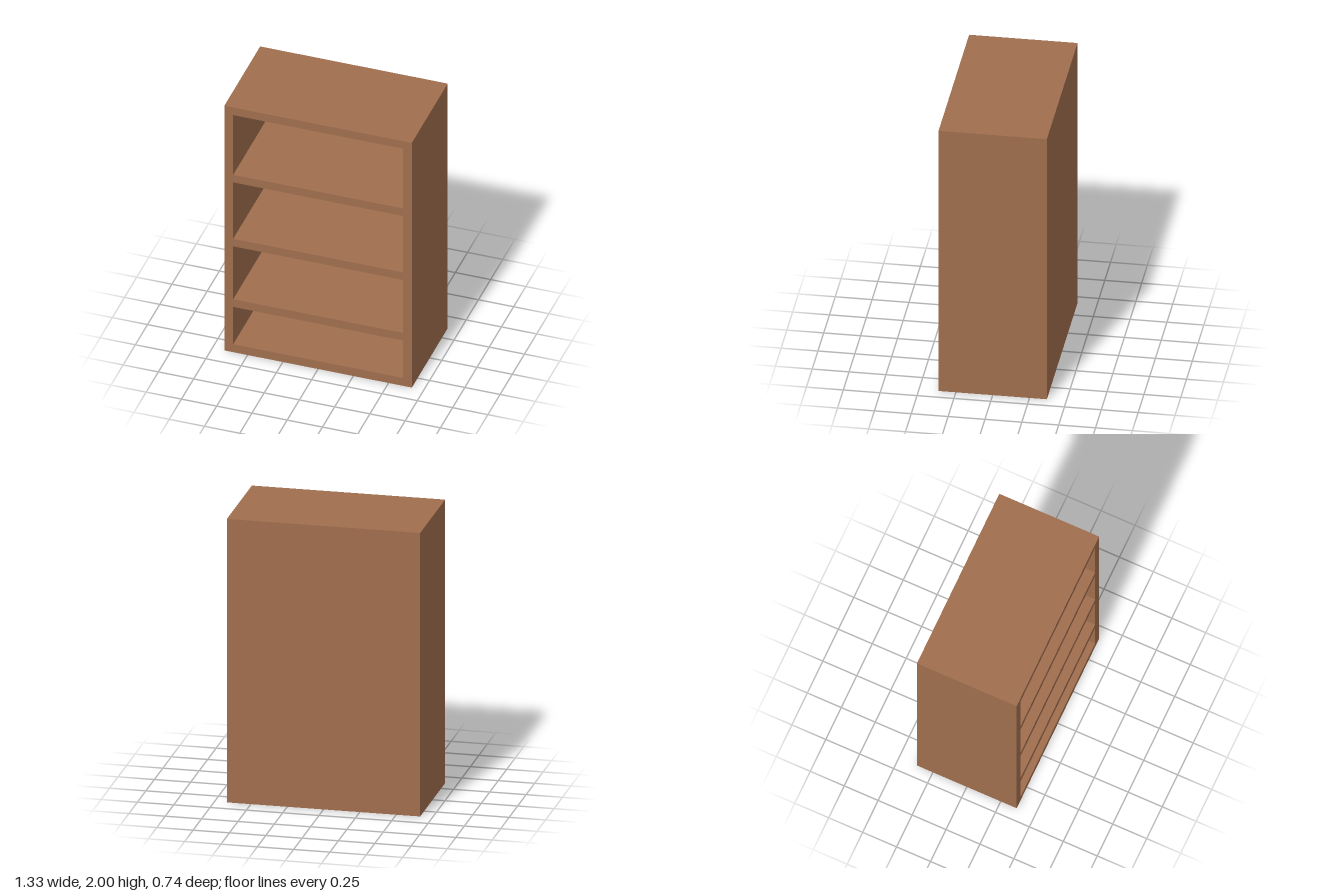
import * as THREE from 'three';

const WIDTH = 1.33, HEIGHT = 2, DEPTH = 0.735, BOARD = 0.063;

// Bottom and top height of each open compartment
const COMPARTMENTS = [[0.065, 0.37], [0.433, 0.865], [0.927, 1.388], [1.45, 1.938]];

function rectangle(path, halfWidth, bottom, top) {
  path.moveTo(-halfWidth, bottom);
  path.lineTo(halfWidth, bottom);
  path.lineTo(halfWidth, top);
  path.lineTo(-halfWidth, top);
  path.closePath();
  return path;
}

export function createModel() {
  const group = new THREE.Group();
  group.name = 'bookcase';
  const wood = new THREE.MeshStandardMaterial({ color: 0xa06e4e });
  wood.name = 'brown wood';

  // Sides, top, base and shelves as one frame with open compartments
  const outline = rectangle(new THREE.Shape(), WIDTH / 2, 0, HEIGHT);
  for (const [bottom, top] of COMPARTMENTS) {
    outline.holes.push(rectangle(new THREE.Path(), WIDTH / 2 - BOARD, bottom, top));
  }
  const frame = new THREE.Mesh(
    new THREE.ExtrudeGeometry(outline, { depth: DEPTH - BOARD, bevelEnabled: false }), wood);
  frame.name = 'shelfFrame';
  frame.position.z = -DEPTH / 2 + BOARD;
  group.add(frame);

  // Solid back closing the compartments
  const back = new THREE.Mesh(new THREE.BoxGeometry(WIDTH, HEIGHT, BOARD), wood);
  back.name = 'backPanel';
  back.position.set(0, HEIGHT / 2, -DEPTH / 2 + BOARD / 2);
  group.add(back);

  return group;
}
